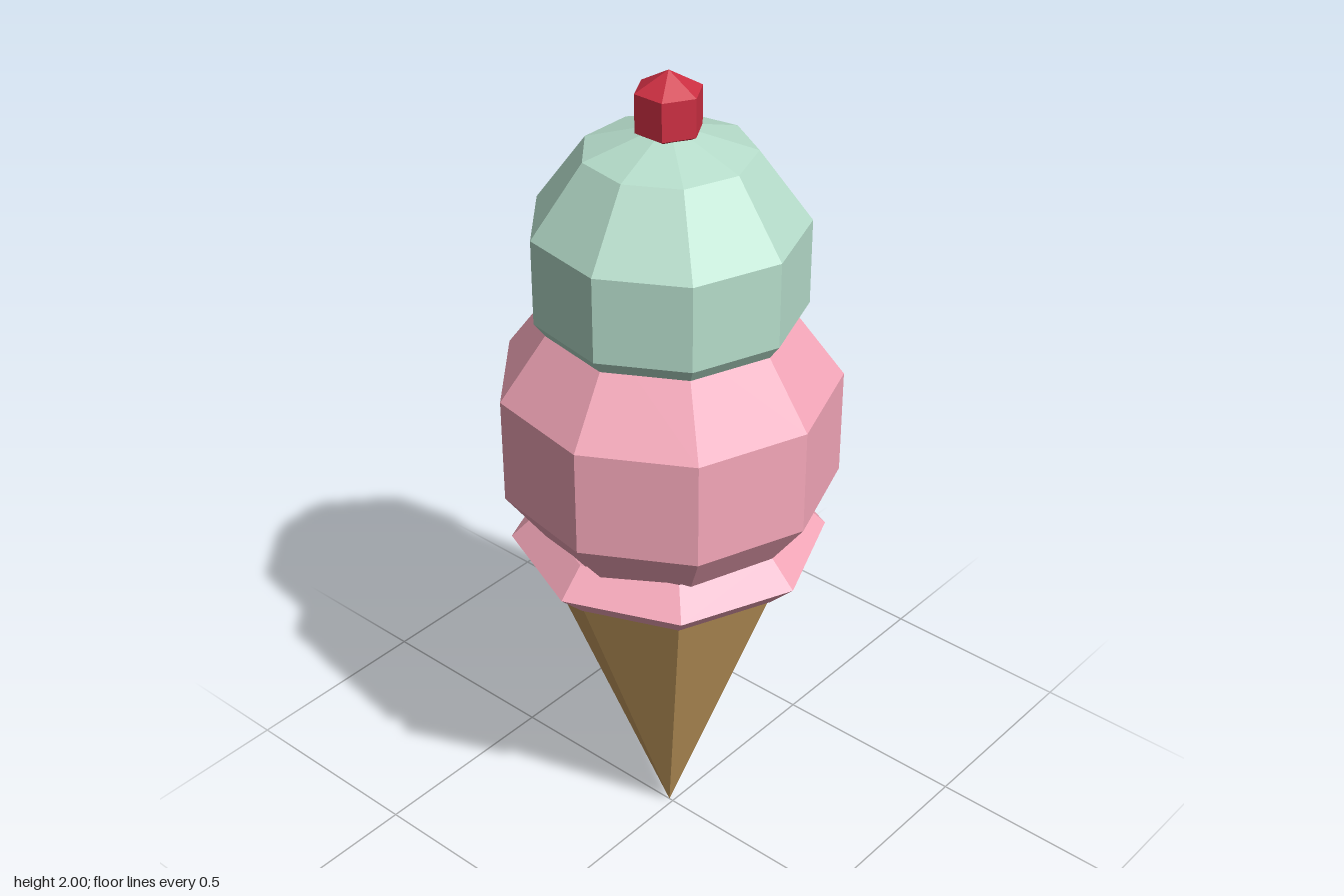
import * as THREE from 'three';

const mat = (color) => new THREE.MeshStandardMaterial({ color, flatShading: true });

export function createModel() {
  const group = new THREE.Group();
  const pink = mat(0xf4a7b9), mint = mat(0xb5dcca), wafer = mat(0xc69c5f), red = mat(0xcc2f42);

  const add = (name, geometry, material, y) => {
    const mesh = new THREE.Mesh(geometry, material);
    mesh.name = name;
    mesh.position.set(-0.011, y, 0);
    group.add(mesh);
  };

  // Low-poly ball with one corner line on +x
  const ball = (radius, sides, bands) =>
    new THREE.SphereGeometry(radius, sides, bands).rotateY(Math.PI);

  // Wafer cone standing on its tip
  const coneHeight = 0.8;
  add('cone', new THREE.ConeGeometry(0.304, coneHeight, 8).rotateX(Math.PI), wafer, coneHeight / 2);

  // Melted rim of the lower scoop, diamond in section
  add('scoopRim', new THREE.TorusGeometry(0.304, 0.064, 4, 8).rotateX(Math.PI / 2), pink, 0.85);

  // Two scoops and the cherry
  add('lowerScoop', ball(0.41, 9, 5), pink, 1.152);
  add('upperScoop', ball(0.323, 9, 5), mint, 1.56);
  add('cherry', ball(0.0866, 6, 3), red, 1.9134);

  return group;
}
